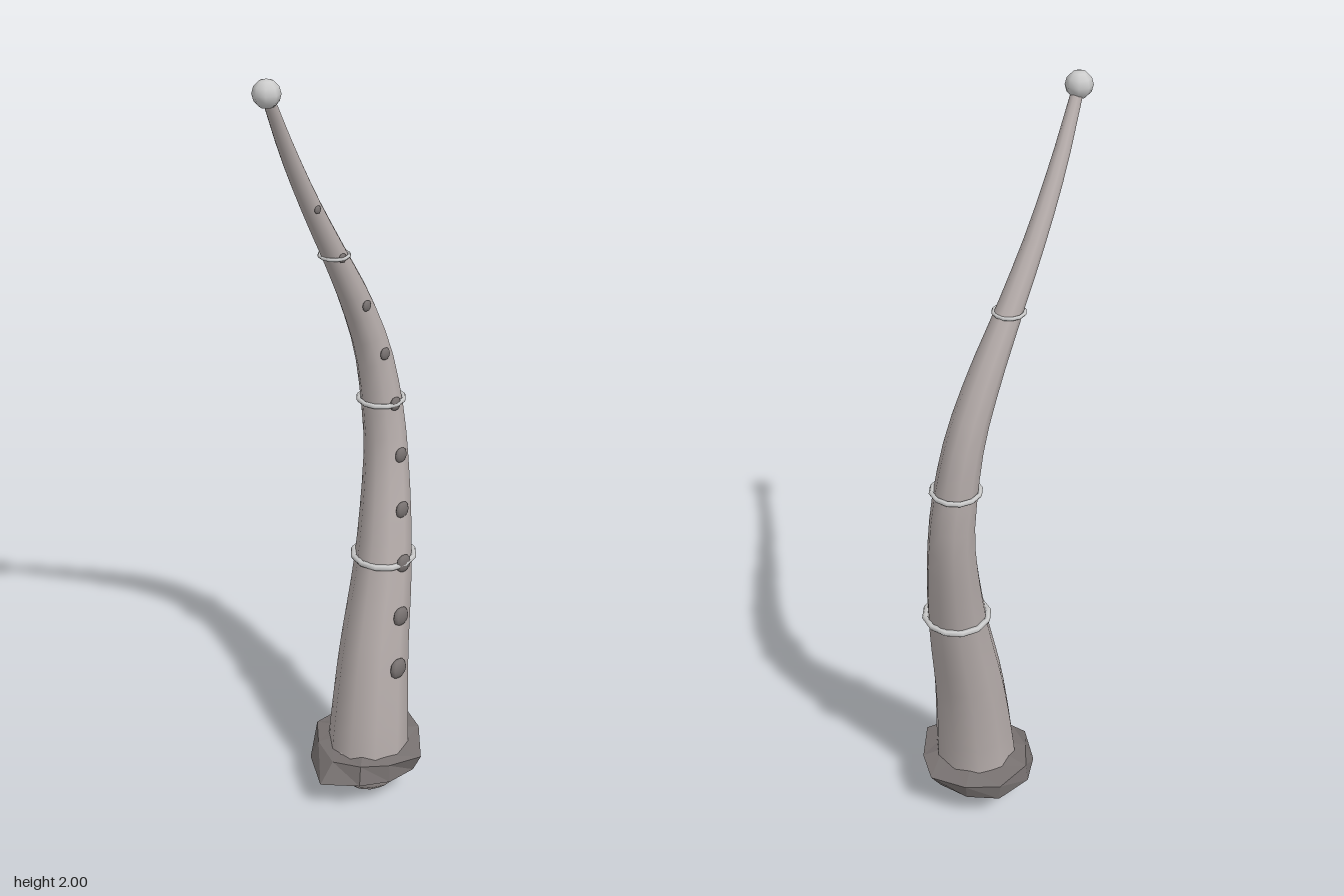
import * as THREE from 'three';

const mat = (color, extra = {}) => new THREE.MeshStandardMaterial({ color, ...extra });
const V = (x, y, z) => new THREE.Vector3(x, y, z);

// centre line stations: x, y, z, radius
const stations = [
  [0.055, 0.1, 0, 0.11], [0.06, 0.18, 0, 0.108], [0.088, 0.4, -0.012, 0.094],
  [0.148, 0.685, -0.036, 0.075], [0.192, 0.965, -0.074, 0.057], [0.188, 1.105, -0.088, 0.053],
  [0.164, 1.245, -0.097, 0.047], [0.11, 1.385, -0.101, 0.04], [0.034, 1.525, -0.098, 0.031],
  [-0.05, 1.665, -0.087, 0.025], [-0.135, 1.81, -0.067, 0.02], [-0.225, 1.968, -0.035, 0.013],
];

// centre and radius at a height, blended between stations
function at(y) {
  let i = 0;
  while (i < stations.length - 2 && stations[i + 1][1] < y) i++;
  const a = stations[i], b = stations[i + 1];
  const t = THREE.MathUtils.clamp((y - a[1]) / (b[1] - a[1]), 0, 1);
  const [x, , z, r] = a.map((v, k) => THREE.MathUtils.lerp(v, b[k], t));
  return { x, z, r };
}

// curved tube, each cross-section scaled to its own radius
function taperedTube(segments, sides) {
  const curve = new THREE.CatmullRomCurve3(stations.map(([x, y, z]) => V(x, y, z)));
  const geo = new THREE.TubeGeometry(curve, segments, 1, sides, false);
  const pos = geo.attributes.position, p = V(0, 0, 0);
  for (let i = 0; i <= segments; i++) {
    const c = curve.getPointAt(i / segments), r = at(c.y).r;
    for (let j = 0; j <= sides; j++) {
      const k = i * (sides + 1) + j;
      p.fromBufferAttribute(pos, k).sub(c).multiplyScalar(r).add(c);
      pos.setXYZ(k, p.x, p.y, p.z);
    }
  }
  return geo;
}

// jagged collar: outer corner x, z, then reach of its upper and lower edge
function collarGeometry() {
  const corners = [
    [0.17, -0.01, 1, 0.8], [0.135, 0.065, 1, 0.88], [0.05, 0.152, 1, 0.86], [-0.045, 0.128, 0.96, 1],
    [-0.12, 0.088, 0.88, 1], [-0.18, 0, 0.74, 1], [-0.12, -0.1, 0.86, 1], [-0.05, -0.154, 0.96, 1],
    [0.05, -0.154, 1, 0.96], [0.125, -0.1, 1, 0.9],
  ];
  const verts = [], index = [], n = corners.length;
  corners.forEach(([x, z, up, low], i) => {
    const inner = 0.095 / Math.hypot(x, z);
    const wave = 0.006 * Math.sin(i * 2.1);
    verts.push(x * inner, 0.158 + wave, z * inner, x * up, 0.147 + wave, z * up,
      x * low, 0.097 + wave, z * low, x * inner, 0.088 + wave, z * inner);
    const a = i * 4, b = ((i + 1) % n) * 4;
    for (let k = 0; k < 3; k++) index.push(a + k, b + k, a + k + 1, b + k, b + k + 1, a + k + 1);
  });
  const geo = new THREE.BufferGeometry();
  geo.setAttribute('position', new THREE.Float32BufferAttribute(verts, 3));
  geo.setIndex(index);
  geo.computeVertexNormals();
  return geo;
}

export function createModel() {
  const group = new THREE.Group();
  const skin = mat(0xb9b0ae), dark = mat(0x777170), pale = mat(0xcccccc);
  const add = (name, geo, material, x = 0, y = 0, z = 0) => {
    const mesh = new THREE.Mesh(geo, material);
    mesh.name = name;
    mesh.position.set(x, y, z);
    group.add(mesh);
    return mesh;
  };

  // main stalk and its rounded root
  add('stalk', taperedTube(28, 10), skin);
  add('rootBall', new THREE.SphereGeometry(0.11, 14, 10), skin, 0.055, 0.113, 0);
  add('collar', collarGeometry(), mat(0x777170, { side: THREE.DoubleSide, flatShading: true }), 0.055);

  // level bands
  [0.685, 1.105, 1.525].forEach((y, i) => {
    const c = at(y), tube = 0.008 - i * 0.0018;
    const band = add('band' + (i + 1), new THREE.TorusGeometry(c.r + 0.005, tube, 6, 12), pale, c.x, y, c.z);
    band.rotation.x = Math.PI / 2;
  });

  // row of shrinking studs up the front
  for (let i = 0; i < 10; i++) {
    const y = 0.405 + i * 0.14, c = at(y), r = 0.029 - i * 0.0021;
    const stud = add('stud' + (i + 1), new THREE.SphereGeometry(r, 8, 6), dark, c.x - 0.003, y, c.z + c.r);
    stud.scale.z = 0.45;
  }

  // knob at the tip
  add('tipKnob', new THREE.SphereGeometry(0.032, 8, 6), pale, -0.225, 1.968, -0.035);
  return group;
}
